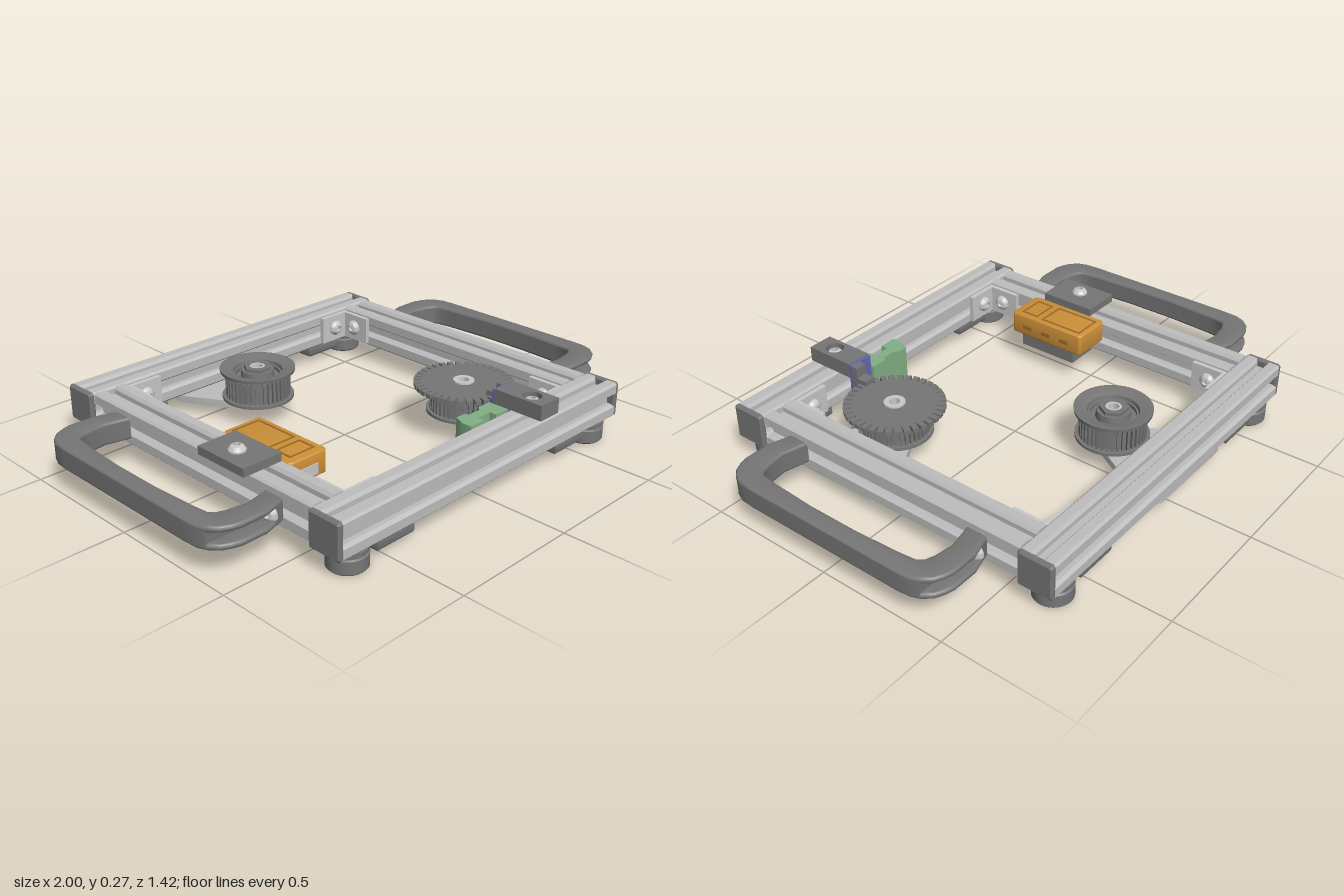
import * as THREE from 'three';
import { toCreasedNormals } from 'three/addons/utils/BufferGeometryUtils.js';

const mat = (name, color) => {
  const m = new THREE.MeshStandardMaterial({ color });
  m.name = name;
  return m;
};

export function createModel() {
  const root = new THREE.Group();
  const alu = mat('aluminium', 0xbebebe);
  const steel = mat('steel', 0xc8c8c8);
  const dark = mat('dark grey', 0x767676);
  const orange = mat('orange', 0xcc9038);
  const shade = mat('dark orange', 0x9c6c28);
  const green = mat('green', 0x82b084);
  const blue = mat('blue', 0x6468b4);

  const add = (name, geo, m, x = 0, y = 0, z = 0, parent = root) => {
    const mesh = new THREE.Mesh(geo, m);
    mesh.name = name;
    mesh.position.set(x, y, z);
    parent.add(mesh);
    return mesh;
  };
  // box given by its min and max on each axis
  const box = (name, m, x0, x1, y0, y1, z0, z1, parent = root) =>
    add(name, new THREE.BoxGeometry(x1 - x0, y1 - y0, z1 - z0), m, (x0 + x1) / 2, (y0 + y1) / 2, (z0 + z1) / 2, parent);
  const poly = pts => new THREE.Shape(pts.map(p => new THREE.Vector2(p[0], p[1])));
  const hole = (shape, x, y, r) => shape.holes.push(new THREE.Path().absarc(x, y, r, 0, Math.PI * 2, true));
  // horizontal slab: shape y becomes z, hanging down from y = 0
  const slab = (shape, depth, bevel = 0) => {
    const g = new THREE.ExtrudeGeometry(shape, {
      depth: depth - 2 * bevel, curveSegments: 16, bevelEnabled: bevel > 0,
      bevelSize: bevel, bevelThickness: bevel, bevelOffset: -bevel, bevelSegments: 3,
    });
    return toCreasedNormals(g.translate(0, 0, bevel).rotateX(Math.PI / 2), 0.6);
  };
  const lathe = pts => toCreasedNormals(new THREE.LatheGeometry(pts.map(p => new THREE.Vector2(p[0], p[1])), 40), 0.5);
  // domed screw head with a hexagon socket, pointing up
  const boltGeo = lathe([[0, 0.008], [0.012, 0.008], [0.012, 0.022], [0.022, 0.018], [0.031, 0.006], [0.031, 0], [0, 0]].reverse());
  const bolt = (x, y, z, rx = 0, rz = 0, parent = root) =>
    add('bolt', boltGeo, steel, x, y, z, parent).rotation.set(rx, 0, rz);

  // slotted frame beams
  const h = 0.0685, yc = 0.145, section = [];
  for (let i = 0; i < 4; i++) {
    const c = Math.cos(-i * Math.PI / 2), s = Math.sin(-i * Math.PI / 2);
    for (const [x, y] of [[-h + 0.008, h], [-0.027, h], [-0.018, h - 0.012], [-0.018, h - 0.03],
      [0.018, h - 0.03], [0.018, h - 0.012], [0.027, h], [h - 0.008, h]])
      section.push([x * c - y * s, x * s + y * c]);
  }
  const beam = len => new THREE.ExtrudeGeometry(poly(section), { depth: len, bevelEnabled: false }).translate(0, 0, -len / 2);
  const capGeo = new THREE.ExtrudeGeometry(poly([[-0.0605, -h], [0.0605, -h], [h, -0.0605], [h, 0.0605], [0.0605, h], [-0.0605, h], [-h, 0.0605], [-h, -0.0605]]),
    { depth: 0.01, bevelSize: 0.007, bevelOffset: -0.007, bevelThickness: 0.007, bevelSegments: 1 }).rotateY(Math.PI / 2);
  const footGeo = lathe([[0, 0], [0.064, 0], [0.07, 0.006], [0.07, 0.052], [0.064, 0.056], [0.064, 0.062], [0.07, 0.066], [0.07, 0.077], [0, 0.077]]);
  for (const s of [-1, 1]) {
    add('crossBeam', beam(1.42), alu, 0, yc, s * 0.6405).rotation.y = Math.PI / 2;
    add('sideBeam', beam(1.144), alu, s * 0.6385, yc, 0);
    for (const t of [-1, 1]) {
      add('endCap', capGeo, dark, s * 0.711, yc, t * 0.6405).rotation.y = s < 0 ? Math.PI : 0;
      add('foot', footGeo, dark, s * 0.625, 0, t * 0.64);
      const clip = slab(poly([[-0.085, -0.05], [0.085, -0.05], [0.085, 0.05], [-0.085, 0.05]]), 0.048, 0.012);
      add('underBlock', clip, dark, s * 0.46, 0.077, t * 0.64);
      // inner corner bracket with two bolts
      const b = new THREE.Group();
      b.name = 'cornerBracket';
      box('bracketLegX', steel, -0.145, 0, -0.055, 0.055, -0.018, 0, b);
      box('bracketLegZ', steel, -0.018, 0, -0.055, 0.055, -0.145, 0, b);
      bolt(-0.075, 0, -0.018, -Math.PI / 2, 0, b);
      bolt(-0.018, 0, -0.075, 0, Math.PI / 2, b);
      b.position.set(s * 0.57, yc, t * 0.572);
      b.rotation.y = s > 0 ? (t > 0 ? 0 : Math.PI / 2) : (t > 0 ? -Math.PI / 2 : Math.PI);
      root.add(b);
    }
  }

  // handles: rounded top and bottom layers around a core with open bolt channels
  const mirrorZ = pts => [...pts, ...pts.map(([x, z]) => [x, -z]).reverse()];
  const outer = [[0.705, 0.44], [0.79, 0.465], [0.89, 0.465], [0.925, 0.455], [0.955, 0.44], [0.982, 0.41], [0.996, 0.375], [1, 0.32]];
  const core = [[0.705, 0.44], [0.745, 0.452], [0.745, 0.405], [0.984, 0.405], [0.996, 0.375], [1, 0.32]];
  const inner = [[0.935, 0.1], [0.925, 0.28], [0.918, 0.34], [0.905, 0.357], [0.87, 0.37], [0.80, 0.38], [0.705, 0.36]];
  const handleShape = out => poly([...mirrorZ(out), ...mirrorZ(inner.slice().reverse()).reverse()]);
  for (const s of [-1, 1]) {
    const g = new THREE.Group();
    g.name = 'handle';
    const skin = slab(handleShape(outer), 0.022, 0.009);
    add('handleTop', skin, dark, 0, 0.187, 0, g);
    add('handleCore', slab(handleShape(core), 0.064), dark, 0, 0.177, 0, g);
    add('handleBottom', skin, dark, 0, 0.125, 0, g);
    for (const t of [-1, 1]) bolt(0.745, yc, t * 0.43, 0, -Math.PI / 2, g);
    g.rotation.y = s < 0 ? Math.PI : 0;
    root.add(g);
  }

  // toothed wheel outline with a bore
  const gear = (r, cut, n, gap, bore) => {
    const pts = [];
    for (let i = 0; i < n; i++)
      for (const [f, q] of [[0, r], [0.5 - gap / 2, r], [1 - gap, r], [1 - gap, r - cut], [1, r - cut]]) {
        const a = (i + f) / n * Math.PI * 2;
        pts.push([q * Math.cos(a), q * Math.sin(a)]);
      }
    const s = poly(pts);
    hole(s, 0, 0, bore);
    return s;
  };
  // tapered mounting plate: +z points from the beam towards the wheel axis at z = 0
  const wheelMount = (name, x, z, turn) => {
    const g = new THREE.Group();
    g.name = name;
    const s = new THREE.Shape();
    s.moveTo(-0.18, -0.335);
    s.lineTo(0.18, -0.335);
    s.quadraticCurveTo(0.205, -0.335, 0.205, -0.31);
    s.lineTo(0.205, -0.215);
    s.lineTo(0.062, 0.03);
    s.quadraticCurveTo(0.04, 0.068, 0, 0.068);
    s.quadraticCurveTo(-0.04, 0.068, -0.062, 0.03);
    s.lineTo(-0.205, -0.215);
    s.lineTo(-0.205, -0.31);
    s.quadraticCurveTo(-0.205, -0.335, -0.18, -0.335);
    hole(s, 0, 0, 0.02);
    hole(s, 0, -0.14, 0.027);
    add('mountPlate', slab(s, 0.028), alu, 0, 0.076, 0, g);
    for (const u of [-0.14, 0.14]) bolt(u, 0.048, -0.278, Math.PI, 0, g);
    for (const u of [-0.07, 0.07]) bolt(u, 0.048, -0.1, Math.PI, 0, g);
    add('toothedRim', slab(gear(0.125, 0.012, 40, 0.5, 0.085), 0.085), dark, 0, 0.178, 0, g);
    add('hubTube', lathe([[0.02, 0.076], [0.04, 0.076], [0.04, 0.206], [0.02, 0.206], [0.02, 0.076]]), steel, 0, 0, 0, g);
    g.position.set(x, 0, z);
    g.rotation.y = turn;
    root.add(g);
    return g;
  };
  const pulley = wheelMount('pulley', -0.11, -0.363, 0);
  add('flange', lathe([[0.04, 0.085], [0.125, 0.085], [0.135, 0.092], [0.125, 0.1], [0.125, 0.17], [0.143, 0.19], [0.145, 0.203],
    [0.135, 0.203], [0.095, 0.192], [0.09, 0.165], [0.065, 0.165], [0.062, 0.195], [0.04, 0.195]]
    .filter((p, i) => i > 4)), dark, 0, 0, 0, pulley);
  add('lowerFlange', lathe([[0.04, 0.083], [0.138, 0.083], [0.138, 0.094], [0.04, 0.094]]), dark, 0, 0, 0, pulley);
  const hexShape = poly([0, 1, 2, 3, 4, 5].map(i => [0.055 * Math.cos(i * Math.PI / 3), 0.055 * Math.sin(i * Math.PI / 3)]));
  hole(hexShape, 0, 0, 0.03);
  add('hexNut', slab(hexShape, 0.02), dark, 0, 0.208, 0, pulley);

  const encoder = wheelMount('encoderWheel', 0.35, 0.278, -Math.PI / 2);
  add('slottedDisc', slab(gear(0.187, 0.03, 36, 0.3, 0.038), 0.016), dark, 0, 0.2, 0, encoder);
  add('lowerFlange', lathe([[0.04, 0.083], [0.138, 0.083], [0.138, 0.094], [0.04, 0.094]]), dark, 0, 0, 0, encoder);

  // optical sensor on the front beam
  const arm = poly([[0.245, 0.505], [0.345, 0.505], [0.345, 0.708], [0.245, 0.708]]);
  hole(arm, 0.293, 0.632, 0.034);
  add('sensorArm', slab(arm, 0.058), dark, 0, 0.272, 0);
  bolt(0.293, 0.243, 0.632);
  box('sensorBoard', blue, 0.245, 0.345, 0.12, 0.268, 0.495, 0.505);
  box('sensorBody', dark, 0.3, 0.345, 0.15, 0.267, 0.468, 0.495);
  box('sensorForkTop', dark, 0.3, 0.345, 0.207, 0.226, 0.425, 0.47);
  box('sensorForkBottom', dark, 0.3, 0.345, 0.15, 0.174, 0.425, 0.47);

  // green terminal block
  add('terminalBlock', slab(poly([[0.04, 0.57], [0.04, 0.53], [0.06, 0.487], [0.1, 0.487], [0.11, 0.503], [0.165, 0.503],
    [0.178, 0.487], [0.24, 0.487], [0.24, 0.57], [0.175, 0.57], [0.175, 0.541], [0.11, 0.541], [0.11, 0.57]]), 0.135), green, 0, 0.217, 0);

  // orange control box with its clamp plate
  const caseShape = poly([[-0.57, 0], [-0.425, 0], [-0.415, 0.01], [-0.415, 0.328], [-0.425, 0.338], [-0.57, 0.338], [-0.58, 0.328], [-0.58, 0.01]]);
  add('controlBox', slab(caseShape, 0.087, 0.006), orange, 0, 0.217, 0);
  box('controlBoxBase', dark, -0.565, -0.43, 0.075, 0.131, 0.045, 0.295);
  const frameLine = (x0, x1, z0, z1) => {
    const s = poly([[x0, z0], [x1, z0], [x1, z1], [x0, z1]]), w = 0.007;
    s.holes.push(new THREE.Path([[x0 + w, z0 + w], [x0 + w, z1 - w], [x1 - w, z1 - w], [x1 - w, z0 + w]].map(p => new THREE.Vector2(...p))));
    add('lidGroove', slab(s, 0.004), shade, 0, 0.219, 0);
  };
  frameLine(-0.555, -0.435, 0.02, 0.205);
  frameLine(-0.55, -0.44, 0.23, 0.305);
  box('port', steel, -0.535, -0.46, 0.14, 0.18, 0.335, 0.342);
  for (let i = 0; i < 3; i++) box('sideVent', shade, -0.416, -0.412, 0.16, 0.175, 0.06 + i * 0.09, 0.1 + i * 0.09);
  box('clampPlate', dark, -0.74, -0.58, 0.214, 0.245, 0.07, 0.297);
  bolt(-0.67, 0.245, 0.185);
  return root;
}
